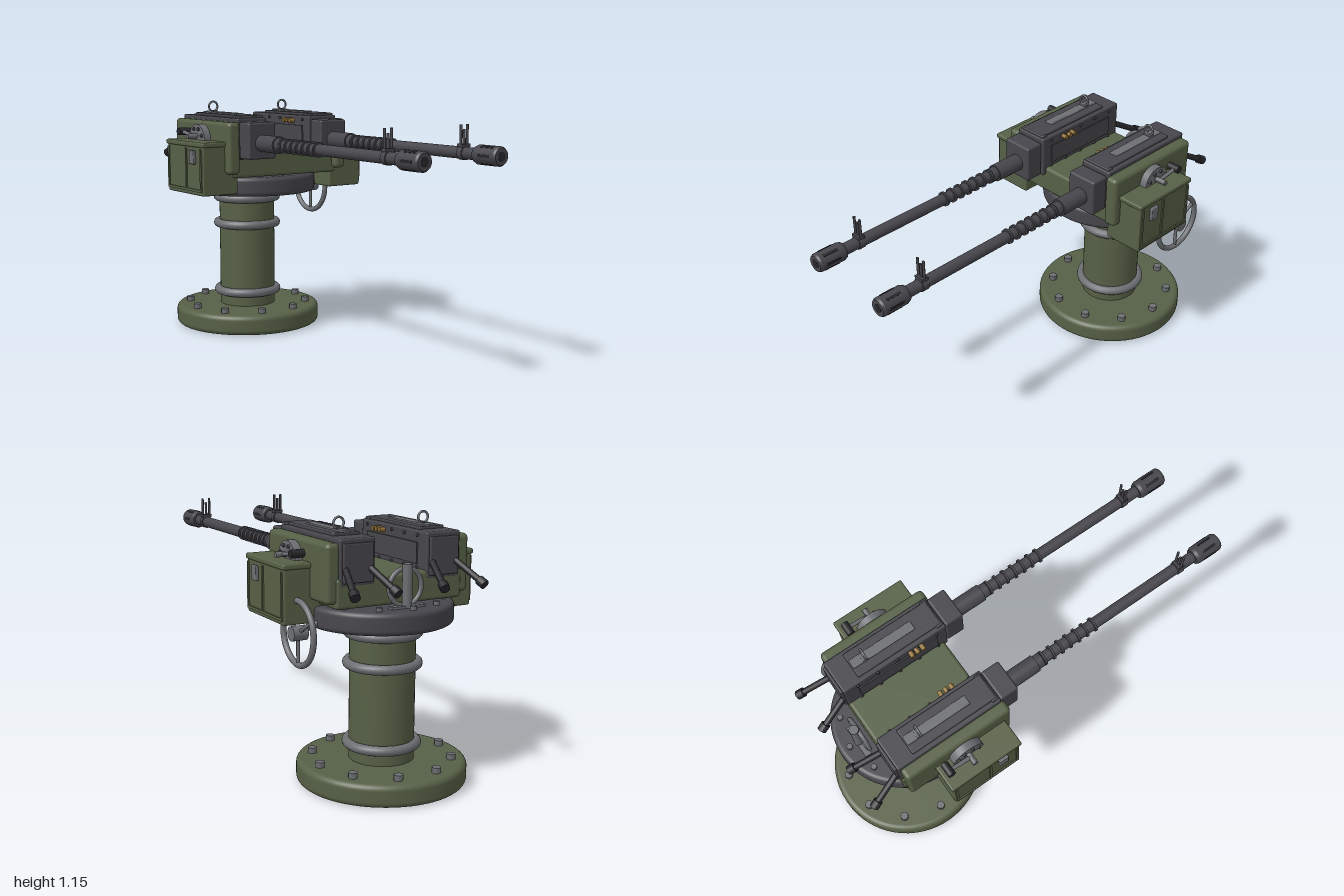
import * as THREE from 'three';
import { RoundedBoxGeometry } from 'three/addons/geometries/RoundedBoxGeometry.js';

const mat = (name, color) => {
  const m = new THREE.MeshStandardMaterial({ color });
  m.name = name;
  return m;
};
const V = (x, y, z) => new THREE.Vector3(x, y, z);

export function createModel() {
  const green = mat('olive green', 0x566046);
  const steel = mat('gunmetal', 0x46464c);
  const grey = mat('worn grey', 0x6c6e72);
  const black = mat('black', 0x27272b);
  const brass = mat('brass', 0x8f6f35);
  const root = new THREE.Group();
  root.name = 'twinGunMount';

  const group = (name) => {
    const g = new THREE.Group();
    g.name = name;
    root.add(g);
    return g;
  };
  const add = (parent, name, geo, material, x = 0, y = 0, z = 0) => {
    const m = new THREE.Mesh(geo, material);
    m.name = name;
    m.position.set(x, y, z);
    parent.add(m);
    return m;
  };
  // box from size and centre, with optional rounded edges
  const box = (p, name, material, w, h, d, x, y, z, r = 0) =>
    add(p, name, r ? new RoundedBoxGeometry(w, h, d, 3, r) : new THREE.BoxGeometry(w, h, d), material, x, y, z);
  // cylinder between two points
  const rod = (p, name, material, a, b, r, seg = 20, r2 = r) => {
    const d = b.clone().sub(a);
    const m = add(p, name, new THREE.CylinderGeometry(r2, r, d.length(), seg), material);
    m.position.copy(a).addScaledVector(d, 0.5);
    m.quaternion.setFromUnitVectors(V(0, 1, 0), d.normalize());
    return m;
  };
  const torus = (p, name, material, R, r, x, y, z, axis = 'z') => {
    const m = add(p, name, new THREE.TorusGeometry(R, r, 12, 48), material, x, y, z);
    if (axis === 'y') m.rotation.x = Math.PI / 2;
    if (axis === 'x') m.rotation.y = Math.PI / 2;
    return m;
  };
  // disc with rounded rims
  const disc = (p, name, material, R, y0, y1, b, z) => {
    const pts = [new THREE.Vector2(0, y0)];
    for (let i = 0; i <= 6; i++) {
      const a = (i / 6) * Math.PI / 2;
      pts.push(new THREE.Vector2(R - b + b * Math.sin(a), y0 + b - b * Math.cos(a)));
    }
    for (let i = 0; i <= 6; i++) {
      const a = (i / 6) * Math.PI / 2;
      pts.push(new THREE.Vector2(R - b + b * Math.cos(a), y1 - b + b * Math.sin(a)));
    }
    pts.push(new THREE.Vector2(0, y1));
    return add(p, name, new THREE.LatheGeometry(pts, 64), material, 0, 0, z);
  };

  // pedestal
  const CZ = -0.633;
  const ped = group('pedestal');
  disc(ped, 'basePlate', green, 0.367, 0, 0.1, 0.026, CZ);
  rod(ped, 'column', green, V(0, 0.09, CZ), V(0, 0.7, CZ), 0.141, 48);
  for (const y of [0.17, 0.52, 0.655]) torus(ped, 'columnRing', grey, 0.149, 0.022, 0, y, CZ, 'y');
  for (let i = 0; i < 10; i++) {
    const a = (i + 0.5) * Math.PI / 5;
    const x = 0.3 * Math.sin(a), z = CZ + 0.3 * Math.cos(a);
    rod(ped, 'baseBolt', grey, V(x, 0.09, z), V(x, 0.124, z), 0.02, 8);
  }

  // turntable
  const TZ = -0.587;
  const table = group('turntable');
  disc(table, 'turntableDisc', steel, 0.323, 0.692, 0.787, 0.022, TZ);
  for (let i = 0; i < 12; i++) {
    const a = i * Math.PI / 6;
    const x = 0.275 * Math.sin(a), z = TZ - 0.275 * Math.cos(a);
    rod(table, 'turntableBolt', grey, V(x, 0.78, z), V(x, 0.803, z), 0.014, 8);
  }
  torus(table, 'rearHoop', grey, 0.077, 0.01, 0, 0.87, -0.8);
  rod(table, 'rearPost', grey, V(0, 0.78, -0.815), V(0, 0.968, -0.815), 0.021);
  box(table, 'hoopFoot', grey, 0.16, 0.014, 0.03, 0, 0.79, -0.815);

  // cradle
  const cradle = group('cradle');
  box(cradle, 'cradleBed', green, 0.6, 0.127, 0.5, 0, 0.857, -0.517, 0.015);

  for (const s of [1, -1]) {
    box(cradle, 'sidePlate', green, 0.064, 0.247, 0.525, s * 0.308, 0.938, -0.497, 0.02);

    // trunnion and cocking lever
    const tr = group('trunnion');
    rod(tr, 'trunnionDisc', grey, V(s * 0.33, 0.97, -0.48), V(s * 0.375, 0.97, -0.48), 0.075, 32);
    for (let i = 0; i < 8; i++) {
      const a = (i + 0.5) * Math.PI / 4;
      const y = 0.97 + 0.055 * Math.sin(a), z = -0.48 + 0.055 * Math.cos(a);
      rod(tr, 'trunnionBolt', steel, V(s * 0.37, y, z), V(s * 0.383, y, z), 0.008, 8);
    }
    rod(tr, 'leverShaft', grey, V(s * 0.34, 0.988, -0.48), V(s * 0.427, 0.988, -0.48), 0.012);
    rod(tr, 'leverArm', grey, V(s * 0.392, 0.988, -0.48), V(s * 0.392, 1.005, -0.59), 0.009);
    rod(tr, 'leverKnob', black, V(s * 0.355, 1.005, -0.59), V(s * 0.415, 1.005, -0.59), 0.018);

    // ammunition box
    const am = group('ammoBox');
    const ax = s * 0.363;
    box(am, 'boxBody', green, 0.192, 0.235, 0.343, ax, 0.835, -0.447, 0.01);
    box(am, 'boxLid', green, 0.203, 0.024, 0.358, ax, 0.958, -0.447, 0.008);
    for (const z of [-0.29, -0.43, -0.604]) box(am, 'boxRib', green, 0.008, 0.2, 0.012, s * 0.461, 0.838, z);
    box(am, 'boxLowerRib', green, 0.008, 0.012, 0.326, s * 0.461, 0.742, -0.447);
    box(am, 'boxLatch', grey, 0.016, 0.065, 0.046, s * 0.464, 0.898, -0.364, 0.004);

    // gun receiver
    const gun = group(s > 0 ? 'leftGun' : 'rightGun');
    const gx = s * 0.205, by = 0.965;
    box(gun, 'receiver', steel, 0.164, 0.194, 0.52, gx, 0.982, -0.508, 0.008);
    box(gun, 'receiverNose', steel, 0.15, 0.172, 0.09, gx, 0.976, -0.2, 0.01);
    box(gun, 'topCover', steel, 0.124, 0.016, 0.42, gx, 1.083, -0.47, 0.005);
    box(gun, 'feedStrip', grey, 0.044, 0.014, 0.31, gx, 1.09, -0.52, 0.004);
    box(gun, 'coverHinge', steel, 0.14, 0.022, 0.03, gx, 1.078, -0.27, 0.005);
    box(gun, 'receiverSidePanel', steel, 0.008, 0.09, 0.4, s * 0.121, 0.985, -0.5);
    for (let i = 0; i < 5; i++)
      for (const y of [0.925, 1.06])
        rod(gun, 'rivet', steel, V(s * 0.125, y, -0.3 - i * 0.1), V(s * 0.116, y, -0.3 - i * 0.1), 0.007, 8);
    // brass cartridges at the feed opening
    for (let i = 0; i < 3; i++) {
      const z = -0.38 - i * 0.028;
      rod(gun, 'cartridge', brass, V(s * 0.13, 1.052, z), V(s * 0.096, 1.052, z), 0.011, 10);
    }

    // barrel
    const along = (name, m, z0, z1, r, seg = 28, r2 = r) => rod(gun, name, m, V(gx, by, z0), V(gx, by, z1), r, seg, r2);
    along('barrelSleeve', steel, -0.17, -0.012, 0.04);
    along('sleeveStep', steel, -0.012, 0.02, 0.033);
    along('barrel', steel, 0, 0.87, 0.026);
    for (let i = 0; i < 7; i++) along('coolingRing', steel, 0.024 + i * 0.045, 0.034 + i * 0.045, 0.034);
    along('muzzleCollar', steel, 0.86, 0.875, 0.036, 28, 0.042);
    along('muzzle', steel, 0.875, 0.99, 0.042);
    along('muzzleLip', steel, 0.99, 1.0, 0.042, 28, 0.036);
    along('bore', black, 0.99, 1.001, 0.02);
    for (let i = 0; i < 6; i++) {
      const a = i * Math.PI / 3;
      const slot = box(gun, 'muzzleSlot', black, 0.005, 0.012, 0.07, gx + 0.0405 * Math.cos(a), by + 0.0405 * Math.sin(a), 0.935);
      slot.rotation.z = a;
    }

    // sights
    along('frontSightBand', steel, 0.76, 0.79, 0.03);
    box(gun, 'frontSightBase', steel, 0.046, 0.014, 0.032, gx, 0.997, 0.775);
    for (const k of [-1, 0, 1])
      rod(gun, 'frontSightPost', steel, V(gx + k * 0.018, 0.99, 0.775), V(gx + k * 0.018, k ? 1.085 : 1.065, 0.775), 0.006, 10);
    box(gun, 'rearSightBase', grey, 0.04, 0.014, 0.03, gx, 1.093, -0.612);
    rod(gun, 'rearSightStem', grey, V(gx, 1.085, -0.612), V(gx, 1.1, -0.612), 0.006, 10);
    torus(gun, 'rearSightRing', grey, 0.024, 0.005, gx, 1.121, -0.612);

    // back plate and spade grips
    box(gun, 'backPlate', steel, 0.14, 0.16, 0.016, gx, 0.98, -0.772, 0.005);
    for (const [x0, x1] of [[0.262, 0.3], [0.148, 0.114]]) {
      const a = V(s * x0, 0.957, -0.77), b = V(s * x1, 0.882, -0.905);
      rod(gun, 'grip', black, a, b, 0.014, 14);
      const tip = b.clone().addScaledVector(b.clone().sub(a).normalize(), 0.022);
      rod(gun, 'gripKnob', black, b.clone().lerp(a, 0.08), tip, 0.021, 14);
    }
  }

  // traverse handwheel
  const wheel = group('handwheel');
  const wx = 0.4, wy = 0.687, wz = -0.63;
  torus(wheel, 'wheelRim', grey, 0.133, 0.013, wx, wy, wz, 'x');
  rod(wheel, 'wheelHub', grey, V(0.367, wy, wz), V(0.433, wy, wz), 0.031, 24);
  rod(wheel, 'wheelAxle', grey, V(0.28, 0.73, wz), V(0.38, wy + 0.01, wz), 0.014);
  for (let i = 0; i < 3; i++) {
    const a = -Math.PI / 2 + i * Math.PI * 2 / 3;
    rod(wheel, 'wheelSpoke', grey, V(wx, wy, wz), V(wx, wy + 0.133 * Math.sin(a), wz + 0.133 * Math.cos(a)), 0.008, 12);
  }

  return root;
}
